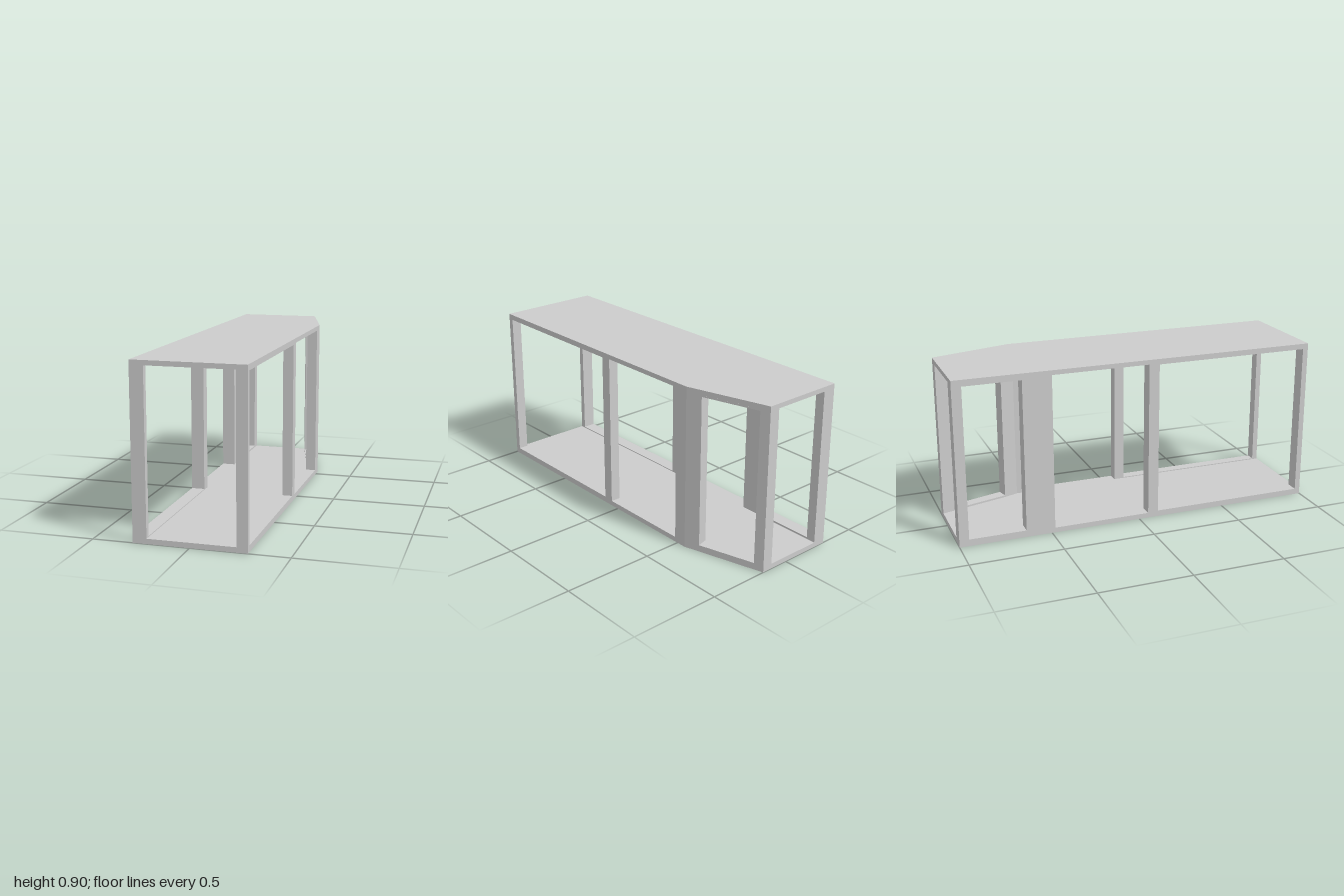
import * as THREE from 'three';

const material = new THREE.MeshStandardMaterial({ color: 0xcccccc, flatShading: true });
const FLOOR = 0.027, CEILING = 0.873, TOP = 0.898;

// Upright prism over a plan outline of [x, z] points
function prism(name, plan, y0, y1) {
  const shape = new THREE.Shape(plan.map(([x, z]) => new THREE.Vector2(x, -z)));
  const geometry = new THREE.ExtrudeGeometry(shape, { depth: y1 - y0, bevelEnabled: false });
  geometry.rotateX(-Math.PI / 2).translate(0, y0, 0);
  const mesh = new THREE.Mesh(geometry, material);
  mesh.name = name;
  return mesh;
}

const rect = (x0, x1, z0, z1) => [[x0, z0], [x1, z0], [x1, z1], [x0, z1]];

export function createModel() {
  const model = new THREE.Group();
  model.name = 'openFrameBody';

  // Floor and roof share one outline with a chamfered rear corner
  const outline = [[-0.29, -1], [0.163, -1], [0.29, -0.555], [0.29, 1], [-0.29, 1]];
  model.add(prism('floor', outline, 0, FLOOR));
  model.add(prism('roof', outline, CEILING, TOP));

  const post = (name, plan) => model.add(prism(name, plan, FLOOR, CEILING));

  // Thin rails that frame a window below and above
  const rails = (name, plan, height) => {
    model.add(prism(name + 'Sill', plan, FLOOR, FLOOR + height));
    model.add(prism(name + 'Lintel', plan, CEILING - height, CEILING));
  };

  // Front and middle posts and front window rails on both long sides
  for (const [side, x0, x1] of [['right', -0.29, -0.218], ['left', 0.234, 0.29]]) {
    post(side + 'FrontPost', rect(x0, x1, 0.97, 1));
    post(side + 'MiddlePost', rect(x0, x1, 0.052, 0.11));
    rails(side + 'FrontWindow', rect(x0, x1, 0.11, 0.97), 0.005);
  }

  // Rear of the straight side
  post('rightWidePost', rect(-0.29, -0.218, -0.64, -0.482));
  post('rightRearPost', rect(-0.29, -0.218, -1, -0.948));
  rails('rightRearWindow', rect(-0.29, -0.218, -0.948, -0.64), 0.01);

  // Rear of the chamfered side: bent post, slanted window, corner post
  const outerFront = [0.266, -0.64], innerFront = [0.206, -0.624];
  const outerRear = [0.178, -0.948], innerRear = [0.123, -0.932];
  post('leftBentPost', [[0.29, -0.482], [0.29, -0.555], outerFront, innerFront,
    [0.234, -0.547], [0.234, -0.482]]);
  post('leftRearPost', [[0.163, -1], outerRear, innerRear, [0.105, -1]]);
  rails('slantedWindow', [outerFront, outerRear, innerRear, innerFront], 0.01);

  return model;
}
